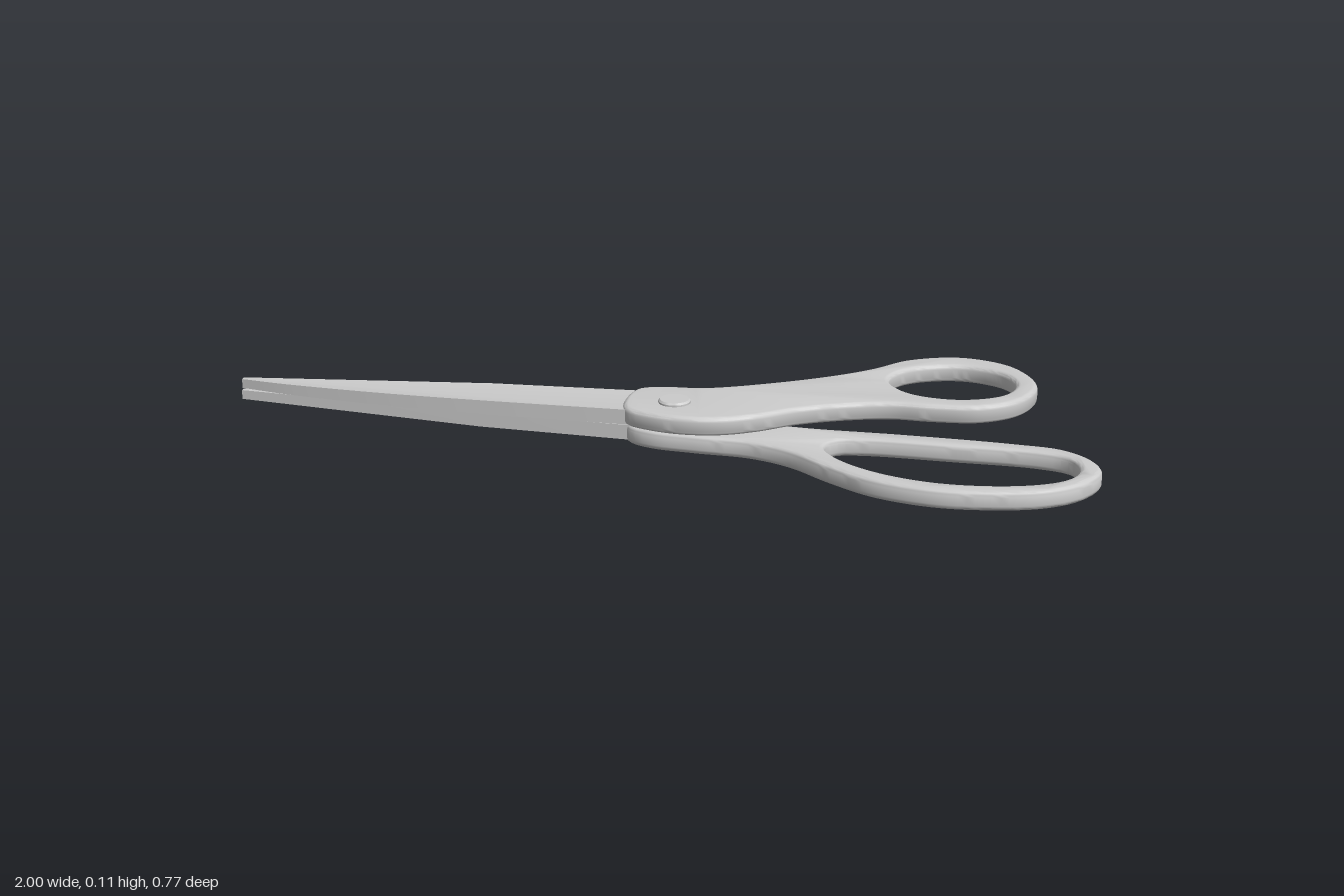
import * as THREE from 'three';
import { toCreasedNormals } from 'three/addons/utils/BufferGeometryUtils.js';

const material = new THREE.MeshStandardMaterial({ color: 0xcccccc });
const MID_Y = 0.056; // plane where the two halves slide on each other

function mesh(name, geometry) {
  const m = new THREE.Mesh(geometry, material);
  m.name = name;
  return m;
}

// Smooth closed outline through [x, z] points
function smoothLoop(points, count) {
  const curve = new THREE.CatmullRomCurve3(
    points.map(([x, z]) => new THREE.Vector3(x, z, 0)), true, 'centripetal');
  return curve.getSpacedPoints(count).slice(0, -1).map(p => new THREE.Vector2(p.x, p.y));
}

// Rounded handle plate with a finger hole, lying flat between yLow and yHigh
function handle(name, outline, hole, yLow, yHigh) {
  const shape = new THREE.Shape(smoothLoop(outline, 140));
  shape.holes.push(new THREE.Path(smoothLoop(hole, 72)));
  const b = 0.012;
  const geometry = new THREE.ExtrudeGeometry(shape, {
    depth: yHigh - yLow - 2 * b, bevelEnabled: true,
    bevelThickness: b, bevelSize: b, bevelOffset: -b, bevelSegments: 4,
  });
  geometry.rotateX(Math.PI / 2).translate(0, yHigh - b, 0);
  return mesh(name, toCreasedNormals(geometry, 0.6));
}

// Blade: straight cutting edge, curved back, thinning toward the tip
function blade() {
  const shape = new THREE.Shape();
  shape.moveTo(0.06, -0.01);
  shape.lineTo(-0.06, -0.008);
  shape.lineTo(-0.4, 0.003);
  shape.lineTo(-1, 0.047);
  shape.lineTo(-1, 0.06);
  shape.splineThru([[-0.85, 0.088], [-0.6, 0.115], [-0.3, 0.127], [0.06, 0.127]]
    .map(p => new THREE.Vector2(...p)));
  const geometry = new THREE.ExtrudeGeometry(shape, { depth: 1, bevelEnabled: false, curveSegments: 8 });
  geometry.rotateX(Math.PI / 2).translate(0, 1, 0);
  const pos = geometry.attributes.position;
  for (let i = 0; i < pos.count; i++) {
    const t = THREE.MathUtils.clamp(-pos.getX(i), 0, 1);
    const outer = 0.093 - 0.013 * t * t;
    pos.setY(i, pos.getY(i) > 0.5 ? outer : MID_Y + 0.002);
  }
  return toCreasedNormals(geometry, 0.5);
}

export function createModel() {
  const model = new THREE.Group();
  model.name = 'scissors';

  // Upper handle with the round thumb loop
  model.add(handle('thumbHandle', [
    [-0.053, -0.013], [0.005, -0.035], [0.096, -0.045], [0.25, -0.115], [0.38, -0.195],
    [0.46, -0.26], [0.54, -0.345], [0.665, -0.389], [0.785, -0.345], [0.85, -0.22],
    [0.815, -0.1], [0.73, -0.035], [0.62, -0.02], [0.53, -0.02], [0.433, 0.008],
    [0.326, 0.06], [0.246, 0.12], [0.166, 0.16], [0.085, 0.172], [0.005, 0.16],
    [-0.055, 0.13], [-0.07, 0.06],
  ], [
    [0.508, -0.185], [0.545, -0.27], [0.663, -0.32], [0.765, -0.285],
    [0.8, -0.21], [0.77, -0.125], [0.674, -0.078], [0.565, -0.1],
  ], 0.056, 0.1));

  // Lower handle with the long finger loop
  model.add(handle('fingerHandle', [
    [-0.055, 0], [0.005, -0.018], [0.07, -0.025], [0.15, 0], [0.23, 0.038], [0.337, 0.054],
    [0.567, 0.056], [0.81, 0.067], [0.914, 0.083], [0.978, 0.136], [0.998, 0.2],
    [0.957, 0.286], [0.877, 0.345], [0.754, 0.377], [0.647, 0.381], [0.524, 0.35],
    [0.42, 0.286], [0.326, 0.213], [0.235, 0.177], [0.11, 0.168], [0.005, 0.155],
    [-0.05, 0.125], [-0.068, 0.06],
  ], [
    [0.4, 0.168], [0.42, 0.125], [0.48, 0.11], [0.674, 0.11], [0.86, 0.115], [0.93, 0.138],
    [0.951, 0.2], [0.92, 0.265], [0.834, 0.313], [0.674, 0.334], [0.54, 0.302], [0.444, 0.238],
  ], 0.012, 0.0555));

  // Matching blades: the lower one is the upper turned half round its long axis
  const bladeGeometry = blade();
  model.add(mesh('upperBlade', bladeGeometry));
  const lower = mesh('lowerBlade', bladeGeometry);
  lower.rotation.x = Math.PI;
  lower.position.set(0, 2 * MID_Y, 0.112);
  model.add(lower);

  // Pivot pin through both halves
  const pin = new THREE.LatheGeometry([
    [0, 0], [0.033, 0], [0.037, 0.004], [0.037, 0.104], [0.033, 0.108], [0, 0.108],
  ].map(p => new THREE.Vector2(...p)), 32);
  const pivot = mesh('pivotPin', toCreasedNormals(pin, 0.5));
  pivot.position.set(0.047, 0, 0.073);
  model.add(pivot);

  return model;
}
